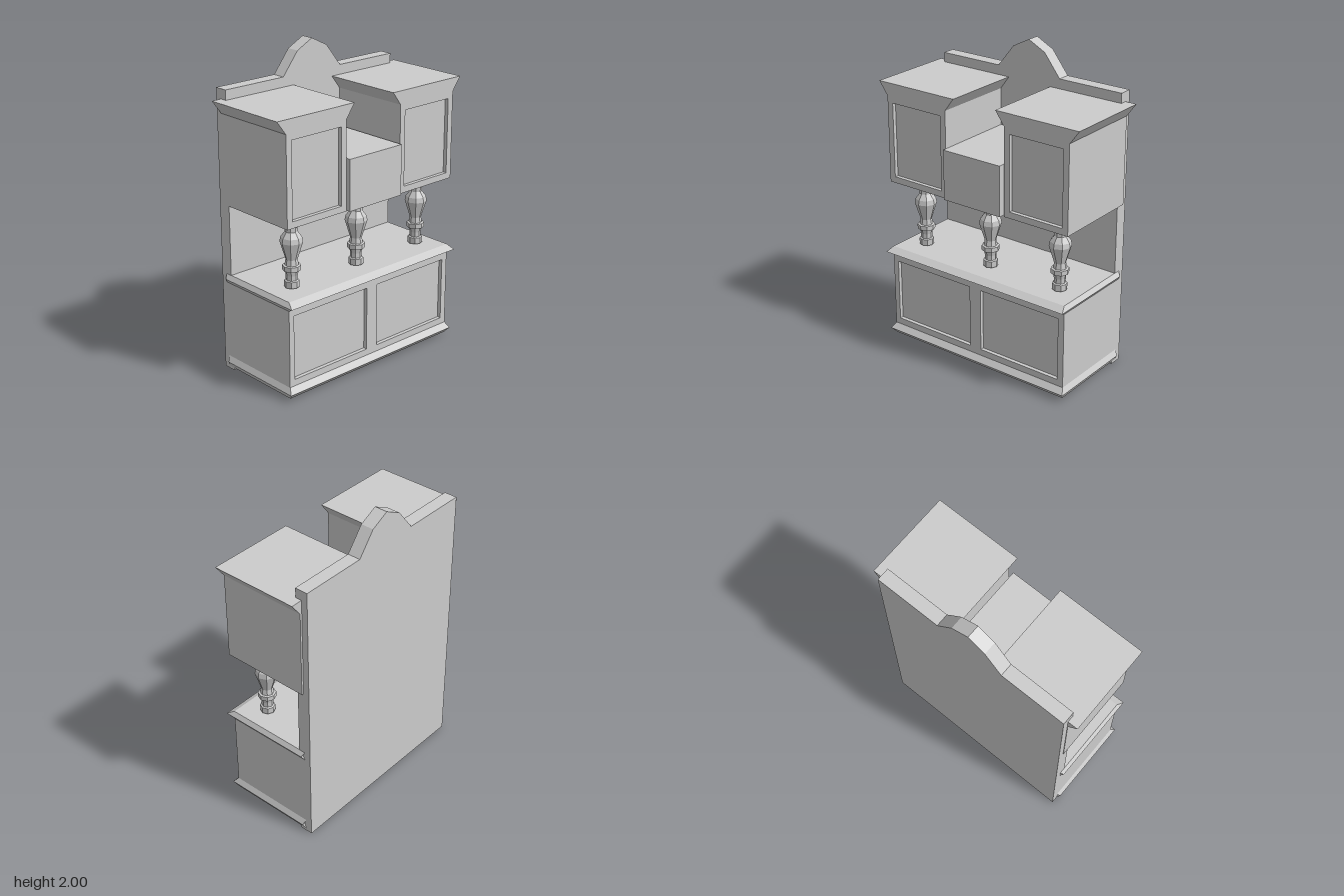
import * as THREE from 'three';

const material = new THREE.MeshStandardMaterial({ color: 0xcccccc, flatShading: true });
const BACK = -0.295, FRONT = 0.285, RECESS = 0.025;

function add(parent, name, geometry, x = 0, y = 0, z = 0) {
  const mesh = new THREE.Mesh(geometry, material);
  mesh.name = name;
  mesh.position.set(x, y, z);
  parent.add(mesh);
  return mesh;
}

const outline = (points) => new THREE.Shape(points.map(([x, y]) => new THREE.Vector2(x, y)));

const slab = (shape, depth) => new THREE.ExtrudeGeometry(shape, { depth, bevelEnabled: false });

// Box given by its two extreme corners
function addBox(parent, name, [x0, y0, z0], [x1, y1, z1]) {
  return add(parent, name, new THREE.BoxGeometry(x1 - x0, y1 - y0, z1 - z0),
    (x0 + x1) / 2, (y0 + y1) / 2, (z0 + z1) / 2);
}

// Solid carcass with a front frame whose openings leave recessed panels
function addCabinet(parent, name, points, panels) {
  const cabinet = new THREE.Group();
  cabinet.name = name;
  parent.add(cabinet);
  add(cabinet, 'carcass', slab(outline(points), FRONT - RECESS - BACK), 0, 0, BACK);
  const frame = outline(points);
  for (const [x0, y0, x1, y1] of panels) {
    frame.holes.push(outline([[x0, y0], [x0, y1], [x1, y1], [x1, y0]]));
  }
  add(cabinet, 'doorFrame', slab(frame, RECESS), 0, 0, FRONT - RECESS);
}

// Slab with a pointed edge: the middle ring is pushed out at the sides and front
function addMoulding(parent, name, y0, y1, overhang) {
  const width = 1.333, depth = FRONT - BACK;
  const geometry = new THREE.BoxGeometry(width, y1 - y0, depth, 1, 2, 1);
  const p = geometry.attributes.position;
  for (let i = 0; i < p.count; i++) {
    if (Math.abs(p.getY(i)) > 0.001) continue;
    p.setX(i, p.getX(i) + Math.sign(p.getX(i)) * 0.02);
    p.setZ(i, p.getZ(i) + (p.getZ(i) > 0 ? overhang : 0.014));
  }
  geometry.computeVertexNormals();
  add(parent, name, geometry, -0.005, (y0 + y1) / 2, (FRONT + BACK) / 2);
}

export function createModel() {
  const model = new THREE.Group();
  model.name = 'dresser';

  // Back panel with arched crest
  const back = outline([
    [-0.672, 0], [0.662, 0], [0.662, 1.797], [0.224, 1.797], [0.112, 1.94],
    [-0.006, 2], [-0.122, 1.94], [-0.236, 1.797], [-0.672, 1.797],
  ]);
  add(model, 'backPanel', slab(back, 0.085), 0, 0, -0.336);

  // Lower cabinet with base moulding and counter
  addCabinet(model, 'lowerCabinet',
    [[-0.672, 0.018], [0.662, 0.018], [0.662, 0.62], [-0.672, 0.62]],
    [[-0.635, 0.13, -0.048, 0.542], [0.037, 0.13, 0.62, 0.542]]);
  addMoulding(model, 'baseMoulding', 0.016, 0.088, 0.031);
  addMoulding(model, 'counter', 0.583, 0.64, 0.048);

  // Upper cabinets, each with a crown flaring to the sides
  for (const side of [-1, 1]) {
    const inner = side * 0.219, outer = side * 0.675;
    const [x0, x1] = [Math.min(inner, outer), Math.max(inner, outer)];
    const inset = 0.04;
    addCabinet(model, side < 0 ? 'rightUpperCabinet' : 'leftUpperCabinet',
      [[x0, 1.087], [x1, 1.087], [x1, 1.65], [x1 + 0.063, 1.735], [x0 - 0.063, 1.735], [x0, 1.65]],
      [[x0 + inset, 1.128, x1 - inset, 1.61]]);
  }

  // Middle drawer box between the upper cabinets
  addBox(model, 'middleDrawer', [-0.217, 1.09, BACK], [0.207, 1.412, 0.311]);

  // Turned posts standing on the counter
  const profile = [
    [0, 0.65], [0.046, 0.65], [0.046, 0.69], [0.036, 0.695], [0.036, 0.725], [0.042, 0.755],
    [0.056, 0.757], [0.056, 0.787], [0.042, 0.79], [0.036, 0.825], [0.07, 0.935], [0.064, 0.965],
    [0.038, 1.0], [0.038, 1.03], [0.048, 1.033], [0.048, 1.072], [0, 1.072],
  ].map(([r, y]) => new THREE.Vector2(r, y));
  const post = new THREE.LatheGeometry(profile, 8);
  for (const x of [-0.52, 0, 0.522]) add(model, 'turnedPost', post, x, 0, 0.135);

  return model;
}
